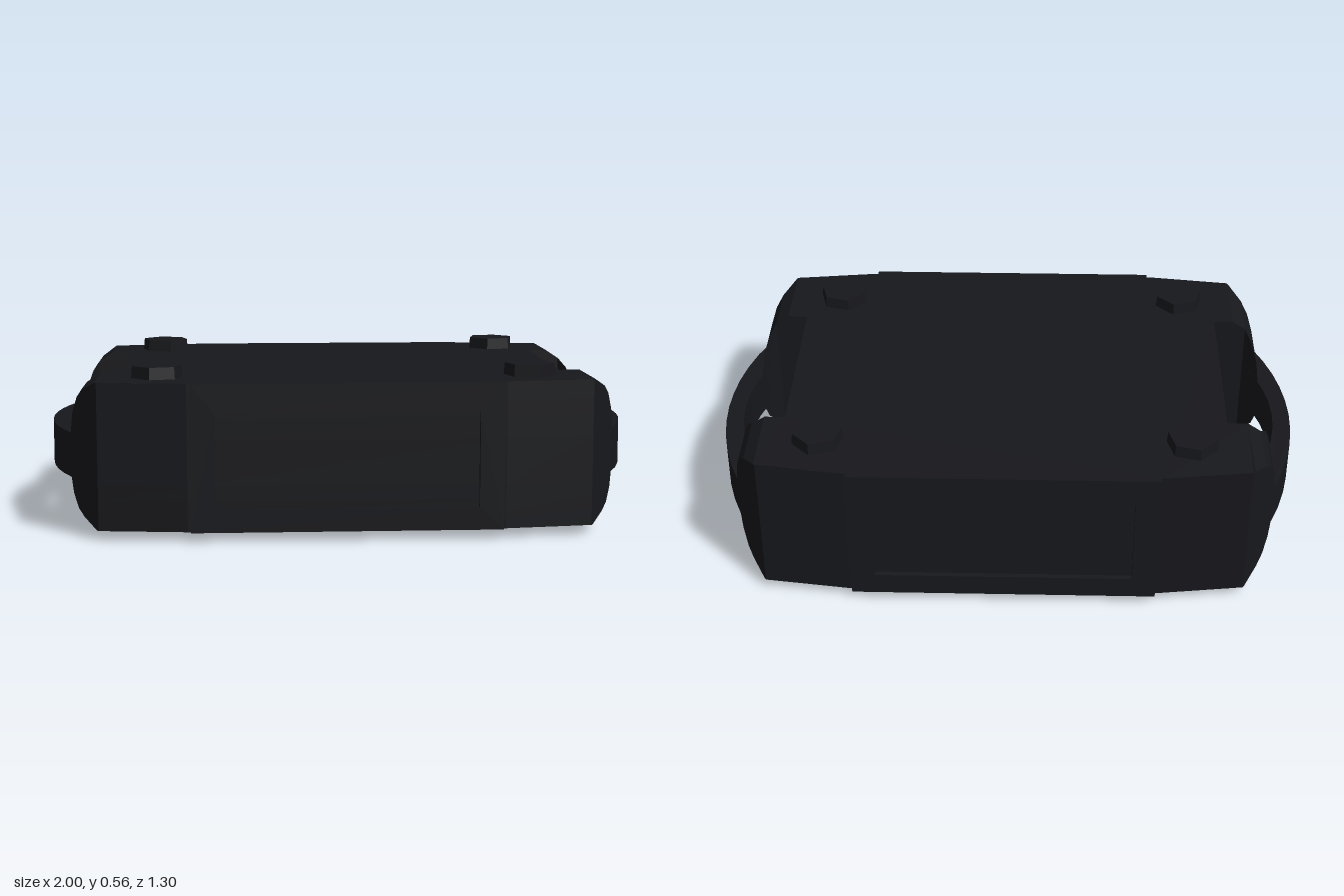
import * as THREE from 'three';

const material = new THREE.MeshStandardMaterial({ color: 0x17181c, flatShading: true });
material.side = THREE.DoubleSide;

// Plan curves of the side handles: x as a function of z
const outerX = z => Math.sqrt(1.027 ** 2 - z * z) - 0.027;
const innerX = z => Math.sqrt(0.68 ** 2 - z * z) + 0.26;
const outerZ = x => Math.sqrt(Math.max(0, 1.027 ** 2 - (x + 0.027) ** 2));
const innerZ = x => (x <= innerX(0.32) ? 0.32 : Math.sqrt(0.68 ** 2 - (x - 0.26) ** 2));

// Closed plan outline whose four corner horns are cut off at x = limit
function section(limit) {
  const quarter = [[0.52, 0.632]];
  const n = 4, zo = outerZ(limit), zi = innerZ(limit);
  for (let i = 0; i <= n; i++) {
    const z = THREE.MathUtils.lerp(0.595, zo, i / n);
    quarter.push([Math.min(limit, outerX(z)), z]);
  }
  for (let i = 0; i <= n; i++) {
    const z = THREE.MathUtils.lerp(zi, 0.32, i / n);
    quarter.push([Math.min(limit, innerX(z)), z]);
  }
  quarter.push([0.745, 0.32]);
  const half = [...quarter, ...quarter.map(([x, z]) => [x, -z]).reverse()];
  return [...half, ...half.map(([x, z]) => [-x, -z])];
}

// Body walls lofted through [height, horn limit] layers
function wallGeometry(layers) {
  const pos = [], index = [];
  const count = section(layers[0][1]).length;
  layers.forEach(([y, limit]) => section(limit).forEach(([x, z]) => pos.push(x, y, z)));
  for (let j = 0; j < layers.length - 1; j++) {
    for (let i = 0; i < count; i++) {
      const k = (i + 1) % count;
      const a = j * count + i, b = j * count + k;
      index.push(a, b, b + count, a, b + count, a + count);
    }
  }
  const geo = new THREE.BufferGeometry();
  geo.setAttribute('position', new THREE.Float32BufferAttribute(pos, 3));
  geo.setIndex(index);
  const flat = geo.toNonIndexed();
  flat.computeVertexNormals();
  return flat;
}

function capGeometry(limit) {
  const pts = section(limit).map(([x, z]) => new THREE.Vector2(x, -z));
  const clean = pts.filter((p, i) => i === 0 || p.distanceTo(pts[i - 1]) > 0.004);
  return new THREE.ShapeGeometry(new THREE.Shape(clean));
}

function rect(target, w, y0, y1) {
  target.moveTo(-w, y0).lineTo(w, y0).lineTo(w, y1).lineTo(-w, y1).closePath();
  return target;
}

export function createModel() {
  const group = new THREE.Group();
  const add = (name, geo, x = 0, y = 0, z = 0) => {
    const mesh = new THREE.Mesh(geo, material);
    mesh.name = name;
    mesh.position.set(x, y, z);
    group.add(mesh);
    return mesh;
  };

  // Main case with horns rounded off above and below the handles
  const layers = [
    [0.03, 0.815], [0.062, 0.86], [0.085, 0.882], [0.13, 0.9], [0.18, 0.908],
    [0.33, 0.908], [0.4, 0.9], [0.455, 0.882], [0.485, 0.86], [0.515, 0.815],
  ];
  add('caseWalls', wallGeometry(layers));
  add('caseTop', capGeometry(0.815), 0, 0.515).rotation.x = -Math.PI / 2;
  add('caseBottom', capGeometry(0.815), 0, 0.03).rotation.x = Math.PI / 2;

  // Raised front and back plates, each with a recessed panel
  const plate = rect(new THREE.Shape(), 0.51, 0.03, 0.515);
  plate.holes.push(rect(new THREE.Path(), 0.43, 0.105, 0.418));
  const plateGeo = new THREE.ExtrudeGeometry(plate, { depth: 0.02, bevelEnabled: false });
  add('frontPlate', plateGeo, 0, 0, 0.63);
  add('backPlate', plateGeo, 0, 0, -0.63).rotation.y = Math.PI;

  // Curved carrying handles
  const arc = [];
  for (let i = 0; i <= 10; i++) {
    const z = -0.43 + 0.086 * i;
    arc.push(new THREE.Vector2(outerX(z), z));
  }
  for (let i = 0; i <= 8; i++) {
    const z = 0.32 - 0.08 * i;
    arc.push(new THREE.Vector2(innerX(z), z));
  }
  const handleGeo = new THREE.ExtrudeGeometry(new THREE.Shape(arc), { depth: 0.15, bevelEnabled: false });
  handleGeo.rotateX(-Math.PI / 2);
  add('leftHandle', handleGeo, 0, 0.18, 0);
  add('rightHandle', handleGeo, 0, 0.18, 0).rotation.y = Math.PI;

  // Hexagonal bolts at the top corners
  const boltGeo = new THREE.CylinderGeometry(0.083, 0.087, 0.045, 6);
  for (const sx of [-1, 1]) {
    for (const sz of [-1, 1]) {
      add('bolt', boltGeo, sx * 0.62, 0.5325, sz * 0.45).rotation.y = sx * sz * Math.PI / 12;
    }
  }

  // Round mount under the case
  add('bottomMount', new THREE.CylinderGeometry(0.115, 0.123, 0.04, 12), 0, 0.02, 0);

  return group;
}
